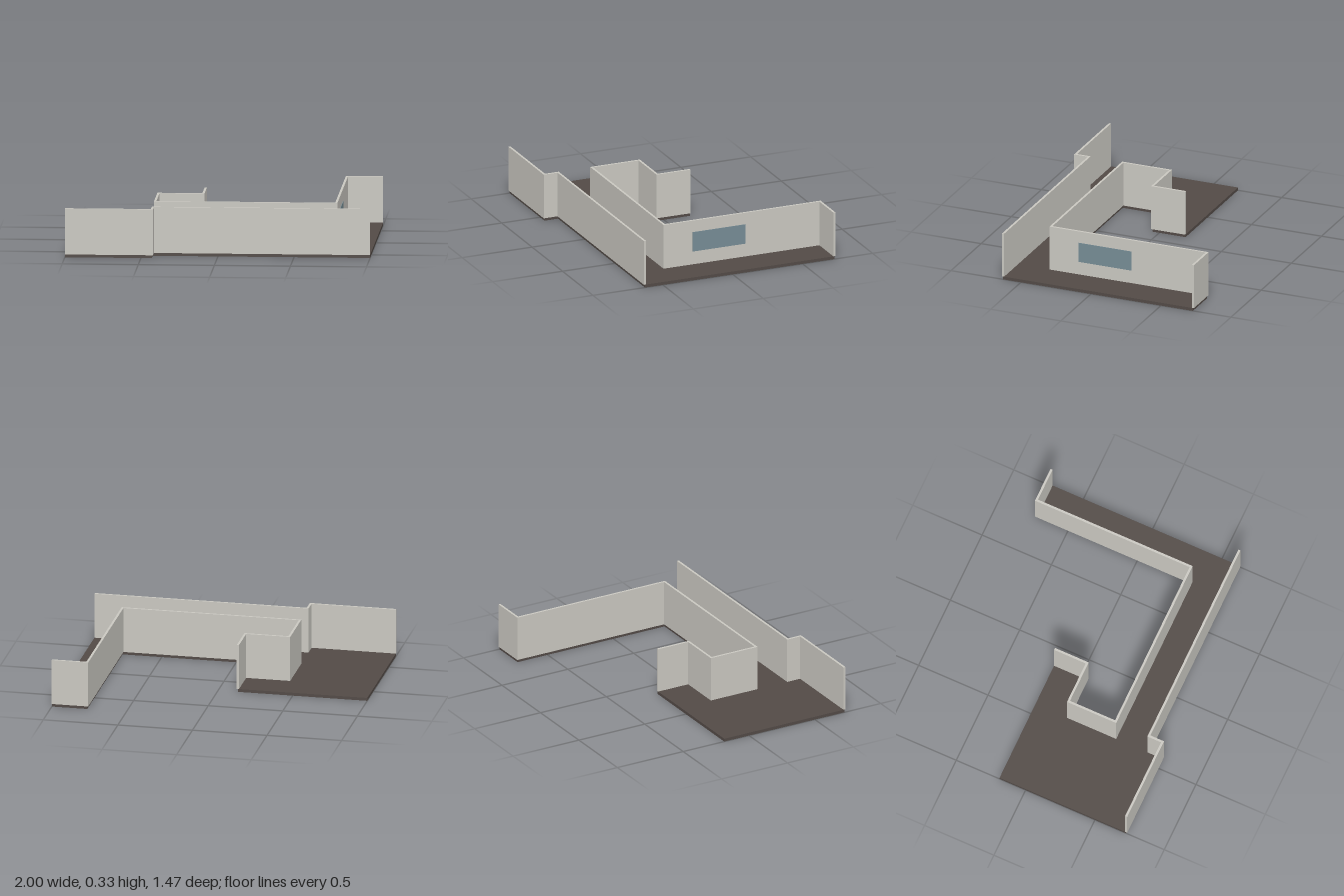
import * as THREE from 'three';

const FLOOR_H = 0.02, WALL_TOP = 0.325;

export function createModel() {
  const group = new THREE.Group();
  group.name = 'floorPlan';
  const material = (name, color) => {
    const m = new THREE.MeshStandardMaterial({ color });
    m.name = name;
    return m;
  };
  const wallMat = material('wallPlaster', 0xc9c7c0);
  const floorMat = material('darkFloor', 0x524a46);
  const glassMat = material('windowGlass', 0x768c95);

  // Axis-aligned box given by its limits
  const addBox = (name, mat, x0, x1, y0, y1, z0, z1) => {
    const mesh = new THREE.Mesh(new THREE.BoxGeometry(x1 - x0, y1 - y0, z1 - z0), mat);
    mesh.position.set((x0 + x1) / 2, (y0 + y1) / 2, (z0 + z1) / 2);
    mesh.name = name;
    group.add(mesh);
  };

  // Floor slab: outline in x, z
  const outline = [
    [-1, -0.188], [-0.132, -0.188], [-0.132, 0.047], [-0.428, 0.047],
    [-0.428, 0.388], [0.763, 0.388], [0.763, -0.728], [1, -0.728],
    [1, 0.628], [-0.428, 0.628], [-0.428, 0.725], [-1, 0.725],
  ];
  const shape = new THREE.Shape(outline.map(([x, z]) => new THREE.Vector2(x, z)));
  const floorGeo = new THREE.ExtrudeGeometry(shape, { depth: FLOOR_H, bevelEnabled: false });
  floorGeo.rotateX(Math.PI / 2).translate(0, FLOOR_H, 0);
  const floor = new THREE.Mesh(floorGeo, floorMat);
  floor.name = 'floor';
  group.add(floor);

  // Walls: name, x range, z range
  const walls = [
    ['nookEndWall', -0.14, -0.125, -0.188, 0.055],
    ['nookFrontWall', -0.42, -0.14, 0.04, 0.055],
    ['roomSideWall', -0.435, -0.42, 0.04, 0.395],
    ['corridorBackWall', -0.42, 0.755, 0.38, 0.395],
    ['wingInnerWall', 0.755, 0.77, -0.735, 0.395],
    ['wingEndWall', 0.77, 1, -0.735, -0.72],
    ['corridorFrontWall', -0.42, 1, 0.62, 0.635],
    ['roomCornerWall', -0.435, -0.42, 0.62, 0.733],
    ['roomFrontWall', -1, -0.435, 0.718, 0.733],
  ];
  for (const [name, x0, x1, z0, z1] of walls) addBox(name, wallMat, x0, x1, FLOOR_H, WALL_TOP, z0, z1);

  // Window panel on the inside of the wing
  addBox('windowPanel', glassMat, 0.769, 0.773, 0.11, 0.245, -0.19, 0.186);

  return group;
}
